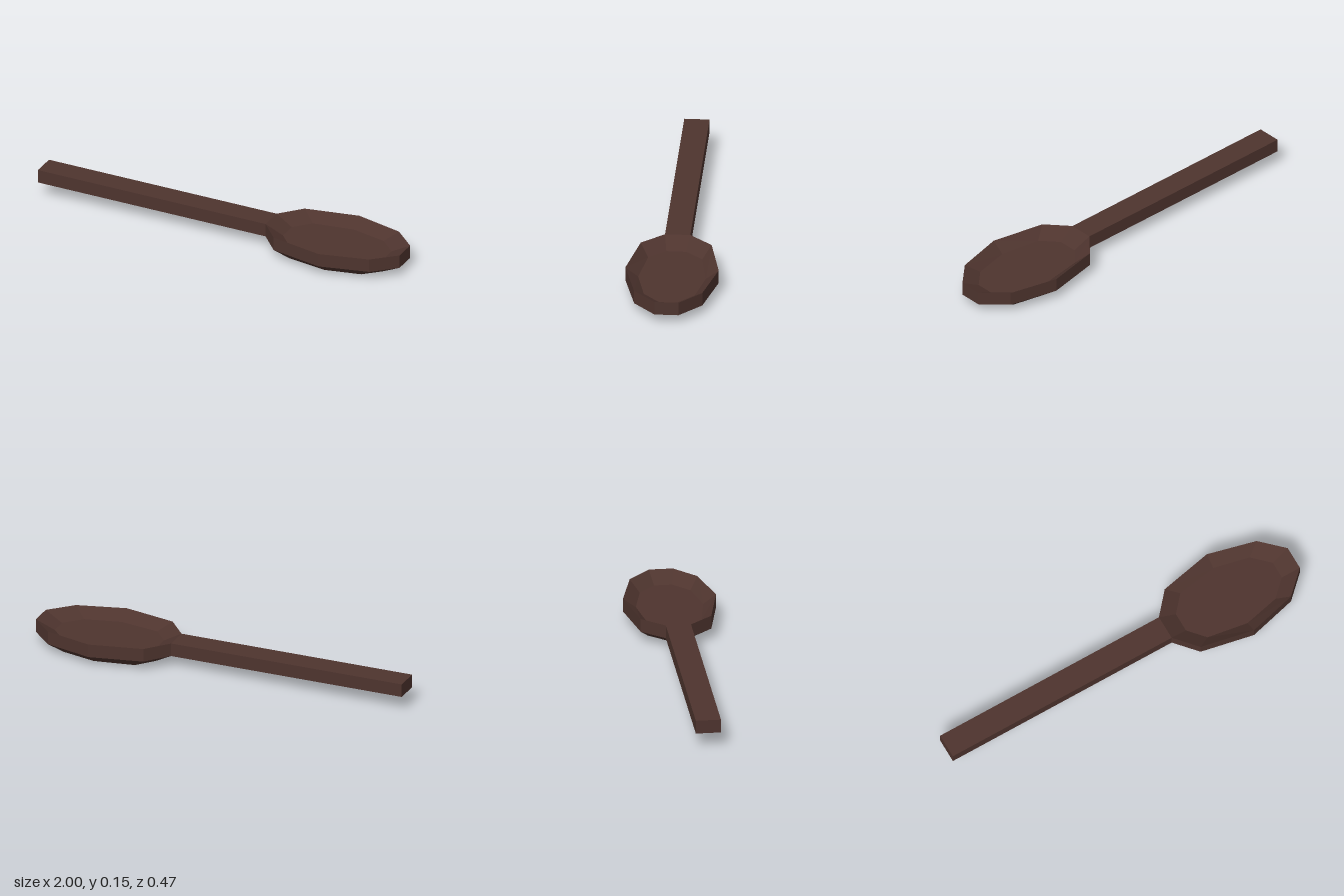
import * as THREE from 'three';

// Height of the gently sloping top surface along the length
const topAt = (x) => 0.147 - 0.0155 * (x + 1);

// Half outline (x, z) mirrored into a closed ring, lowered below the top surface
function ring(half, drop) {
  const all = [...half, ...half.slice().reverse().map(([x, z]) => [x, -z])];
  return all.map(([x, z]) => [x, topAt(x) - drop, z]);
}

// Skin neighbouring rings with quads and close both ends with fans
function loft(rings, centreX, dropFirst, dropLast) {
  const pos = [];
  const tri = (a, b, c) => pos.push(...a, ...b, ...c);
  const n = rings[0].length;
  const first = [centreX, topAt(centreX) - dropFirst, 0];
  const last = [centreX, topAt(centreX) - dropLast, 0];
  for (let i = 0; i < n; i++) {
    const j = (i + 1) % n;
    tri(first, rings[0][i], rings[0][j]);
    for (let r = 0; r < rings.length - 1; r++) {
      const a = rings[r], b = rings[r + 1];
      tri(a[i], b[i], b[j]);
      tri(a[i], b[j], a[j]);
    }
    tri(last, rings[rings.length - 1][j], rings[rings.length - 1][i]);
  }
  const geo = new THREE.BufferGeometry();
  geo.setAttribute('position', new THREE.Float32BufferAttribute(pos, 3));
  geo.computeVertexNormals();
  return geo;
}

export function createModel() {
  const group = new THREE.Group();
  group.name = 'spoon';
  const wood = new THREE.MeshStandardMaterial({ color: 0x4e342e, flatShading: true });
  wood.name = 'dark wood';

  // Bowl: sunken floor, rim, upright side, chamfered underside
  const rim = [[0.26, 0.063], [0.36, 0.177], [0.635, 0.233], [0.885, 0.17], [1, 0.06]];
  const inner = [[0.35, 0.05], [0.425, 0.135], [0.635, 0.169], [0.82, 0.127], [0.905, 0.045]];
  const thickness = 0.069, floorDrop = 0.048, baseDrop = 0.1175;
  const bowl = new THREE.Mesh(loft([
    ring(inner, floorDrop), ring(rim, 0), ring(rim, thickness), ring(inner, baseDrop),
  ], 0.635, floorDrop, baseDrop), wood);
  bowl.name = 'bowl';
  group.add(bowl);

  // Handle: a long bar sheared to follow the slope
  const bar = new THREE.BoxGeometry(1.26, thickness, 0.126);
  const p = bar.attributes.position;
  for (let i = 0; i < p.count; i++) {
    const x = p.getX(i) - 0.37;
    p.setXYZ(i, x, topAt(x) - thickness / 2 + p.getY(i), p.getZ(i));
  }
  bar.computeVertexNormals();
  const handle = new THREE.Mesh(bar, wood);
  handle.name = 'handle';
  group.add(handle);

  return group;
}
